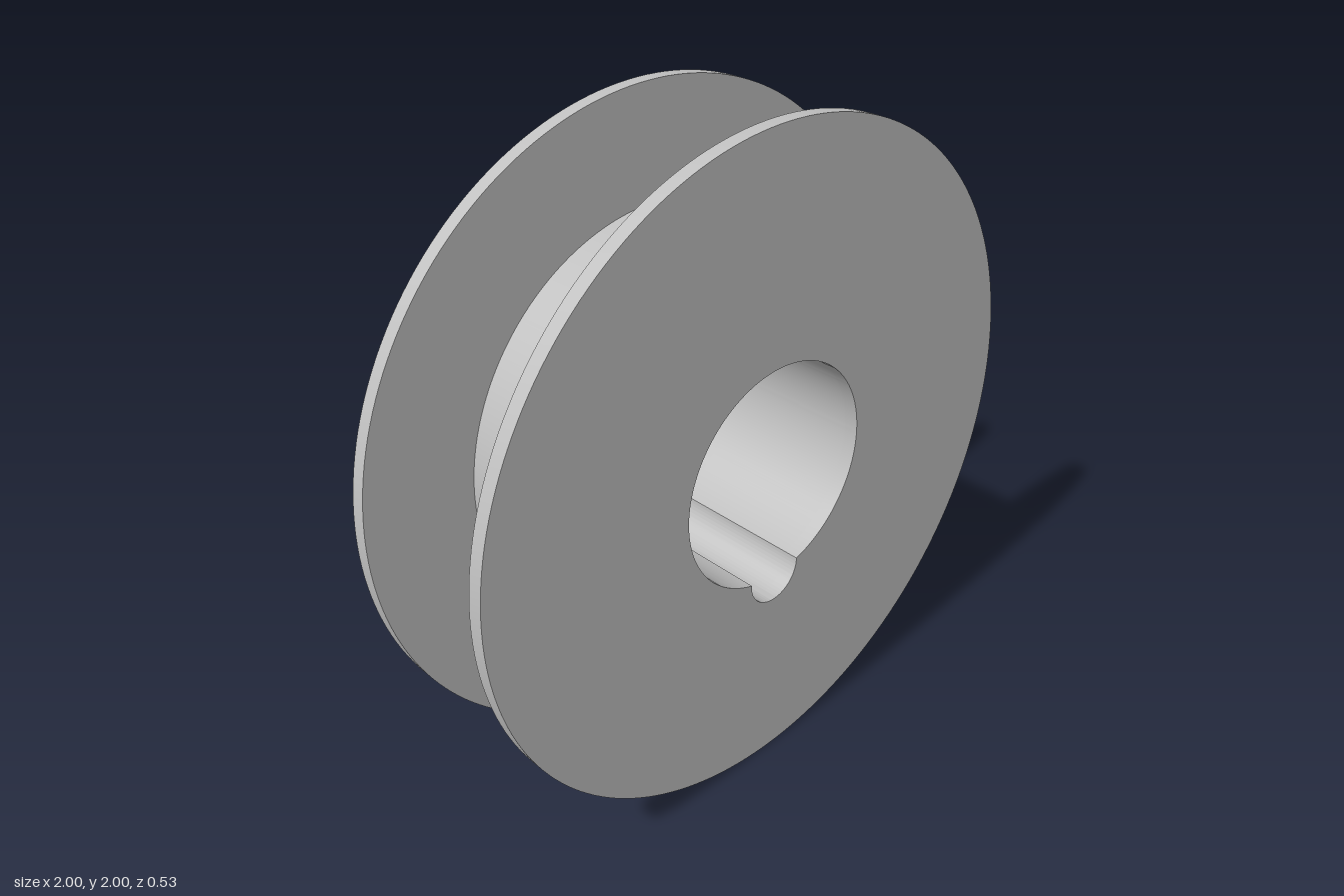
import * as THREE from 'three';
import { toCreasedNormals } from 'three/addons/utils/BufferGeometryUtils.js';

const BORE = 0.34, NOTCH = 0.095, NOTCH_DROP = 0.33;

// Round bore with a semicircular keyway at its bottom
function borePath() {
  const y = (NOTCH ** 2 - BORE ** 2 - NOTCH_DROP ** 2) / (2 * NOTCH_DROP);
  const x = Math.sqrt(BORE ** 2 - y ** 2);
  const a = Math.atan2(y, x);
  const b = Math.atan2(y + NOTCH_DROP, x);
  const path = new THREE.Path();
  path.absarc(0, 0, BORE, a, Math.PI - a, false);
  path.absarc(0, -NOTCH_DROP, NOTCH, Math.PI - b, Math.PI * 2 + b, false);
  return path;
}

// Bored disc spanning z0 to z1
function disc(name, radius, z0, z1, material) {
  const shape = new THREE.Shape();
  shape.absarc(0, 0, radius, 0, Math.PI * 2, false);
  shape.holes.push(borePath());
  const geometry = new THREE.ExtrudeGeometry(shape, { depth: z1 - z0, bevelEnabled: false, curveSegments: 96 });
  geometry.translate(0, 0, z0);
  const mesh = new THREE.Mesh(toCreasedNormals(geometry, 0.5), material);
  mesh.name = name;
  mesh.position.y = 1;
  return mesh;
}

export function createModel() {
  const metal = new THREE.MeshStandardMaterial({ color: 0xc0c0c0 });
  metal.name = 'light grey';
  const group = new THREE.Group();
  group.name = 'spool';
  group.add(
    disc('frontFlange', 1, 0.222, 0.266, metal),
    disc('hub', 0.665, -0.222, 0.222, metal),
    disc('backFlange', 1, -0.266, -0.222, metal),
  );
  return group;
}
